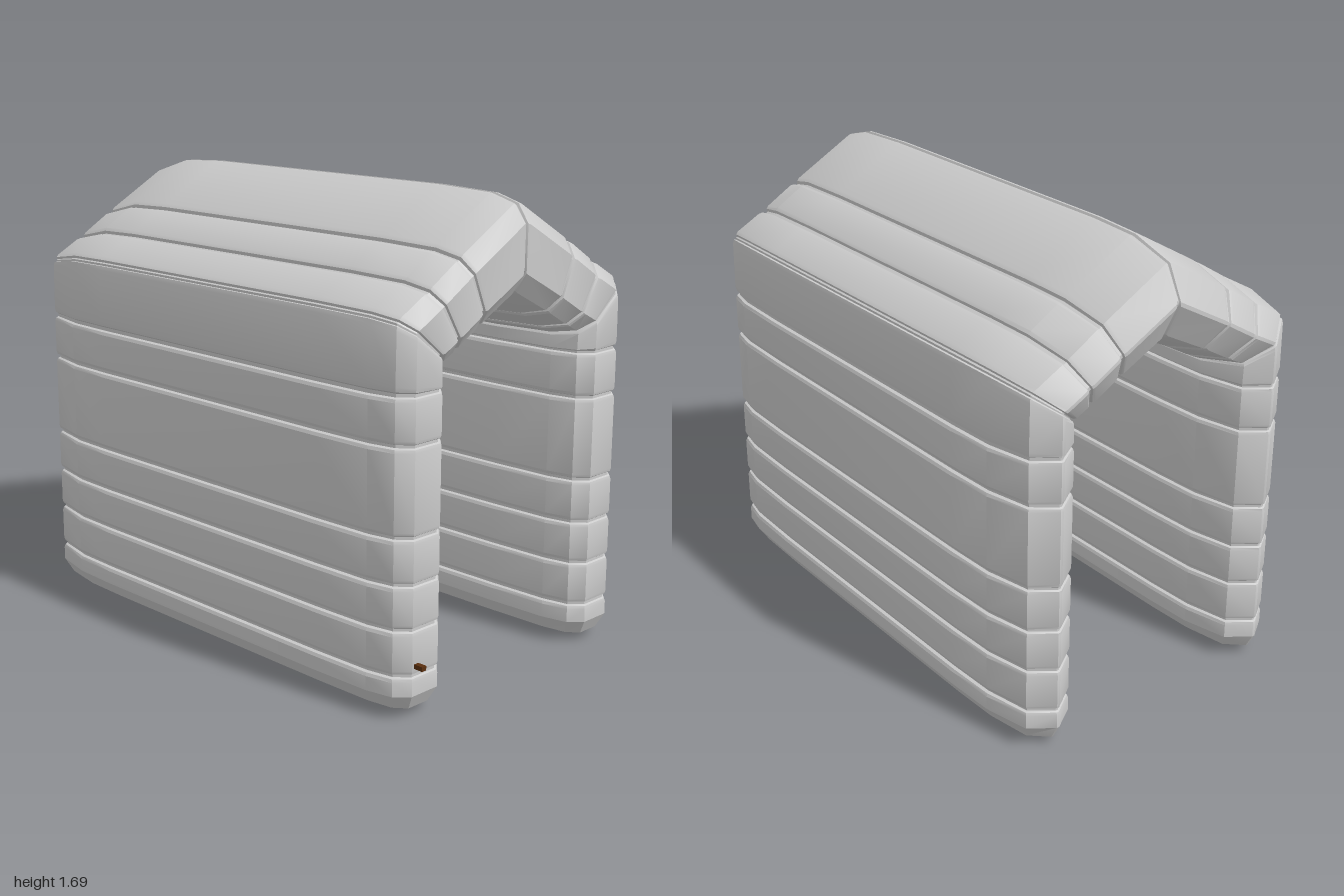
import * as THREE from 'three';
import { toCreasedNormals } from 'three/addons/utils/BufferGeometryUtils.js';

// Half outline of the tube section: [t across the thickness, z], front to back
const HALF = [
  [0.45, 0.965], [0.8, 0.92], [0.95, 0.82], [1, 0.58],
  [1, -0.58], [0.95, -0.77], [0.67, -0.94], [0.04, -1],
];
const OUTLINE = [
  ...[...HALF].reverse(),
  ...HALF.map(([t, z]) => [-t, z]),
];
const GROOVE = 0.016;

// A station is an inner and an outer point [x, y] of the tube wall
const level = (y) => ({ i: [0.33, y], o: [0.605, y] });
const CORNER = { i: [0.335, 1.155], o: [0.6, 1.36] };
const APEX = { i: [0, 1.325], o: [0, 1.705] };

// Point of the section, with insets in thickness (dt) and length (dz)
function ring(s, dt, dz, side) {
  const half = Math.hypot(s.o[0] - s.i[0], s.o[1] - s.i[1]) / 2;
  const k = 0.5 * (1 - dt / half);
  return OUTLINE.map(([t, z]) => [
    side * ((s.i[0] + s.o[0]) / 2 + t * k * (s.o[0] - s.i[0])),
    (s.i[1] + s.o[1]) / 2 + t * k * (s.o[1] - s.i[1]),
    z * (1 - dz),
  ]);
}

const mix = (a, b, f) => a.map((v, n) => v + (b[n] - v) * f);
const between = (a, b, f) => ({ i: mix(a.i, b.i, f), o: mix(a.o, b.o, f) });

// Inflated bands between stations, pinched into a groove at each station
function bands(stations, side) {
  const rings = [];
  for (let n = 0; n + 1 < stations.length; n++) {
    const a = stations[n], b = stations[n + 1];
    const ca = mix(a.i, a.o, 0.5), cb = mix(b.i, b.o, 0.5);
    const len = Math.hypot(cb[0] - ca[0], cb[1] - ca[1]);
    const steps = [[0, GROOVE], [0.005, GROOVE], [0.009, 0.005], [0.02, 0]];
    for (const [d, inset] of steps) rings.push(ring(between(a, b, d / len), inset, inset * 0.6, side));
    for (const [d, inset] of steps.slice(1).reverse()) {
      rings.push(ring(between(a, b, 1 - d / len), inset, inset * 0.6, side));
    }
  }
  rings.push(ring(stations[stations.length - 1], GROOVE, GROOVE * 0.6, side));
  return rings;
}

// Skin over a row of closed rings
function loft(rings, side) {
  const n = OUTLINE.length, index = [];
  for (let r = 0; r + 1 < rings.length; r++) {
    for (let j = 0; j < n; j++) {
      const a = r * n + j, c = r * n + (j + 1) % n, b = a + n, d = c + n;
      if (side > 0) index.push(a, b, c, b, d, c);
      else index.push(a, c, b, b, c, d);
    }
  }
  const geo = new THREE.BufferGeometry();
  geo.setAttribute('position', new THREE.Float32BufferAttribute(rings.flat(2), 3));
  geo.setIndex(index);
  return toCreasedNormals(geo, 0.42);
}

export function createModel() {
  const model = new THREE.Group();
  model.name = 'inflatableArch';
  const grey = new THREE.MeshStandardMaterial({ color: 0xcccccc });
  const add = (name, geo, mat = grey) => {
    const mesh = new THREE.Mesh(geo, mat);
    mesh.name = name;
    model.add(mesh);
    return mesh;
  };

  for (const side of [1, -1]) {
    const label = side > 0 ? 'left' : 'right';

    // Rounded foot closing the wall at the ground: [y, dt, dz]
    const foot = [
      [0, 0.1375, 0.4], [0.012, 0.08, 0.12], [0.03, 0.036, 0.03],
      [0.085, 0, 0], [0.135, 0, 0], [0.146, 0.005, 0.003],
      [0.15, GROOVE, GROOVE * 0.6], [0.155, GROOVE, GROOVE * 0.6],
    ].map(([y, dt, dz]) => ring(level(y), dt, dz, side));
    add(label + 'Foot', loft(foot, side));

    // Upright wall of stacked bands
    const wall = [0.155, 0.315, 0.47, 0.63, 0.935, 1.1].map(level);
    add(label + 'Wall', loft(bands([...wall, CORNER], side), side));

    // Sloping roof from the mitred corner to the ridge
    const roof = [
      CORNER,
      { i: [0.28, 1.18], o: [0.445, 1.445] },
      { i: [0.168, 1.242], o: [0.298, 1.535] },
      APEX,
    ];
    add(label + 'Roof', loft(bands(roof, side), side));
  }

  // Small valve on the front of one wall
  const brown = new THREE.MeshStandardMaterial({ color: 0x5a3010 });
  const valve = add('valve', new THREE.BoxGeometry(0.02, 0.016, 0.05), brown);
  valve.position.set(-0.51, 0.19, 0.975);
  return model;
}
